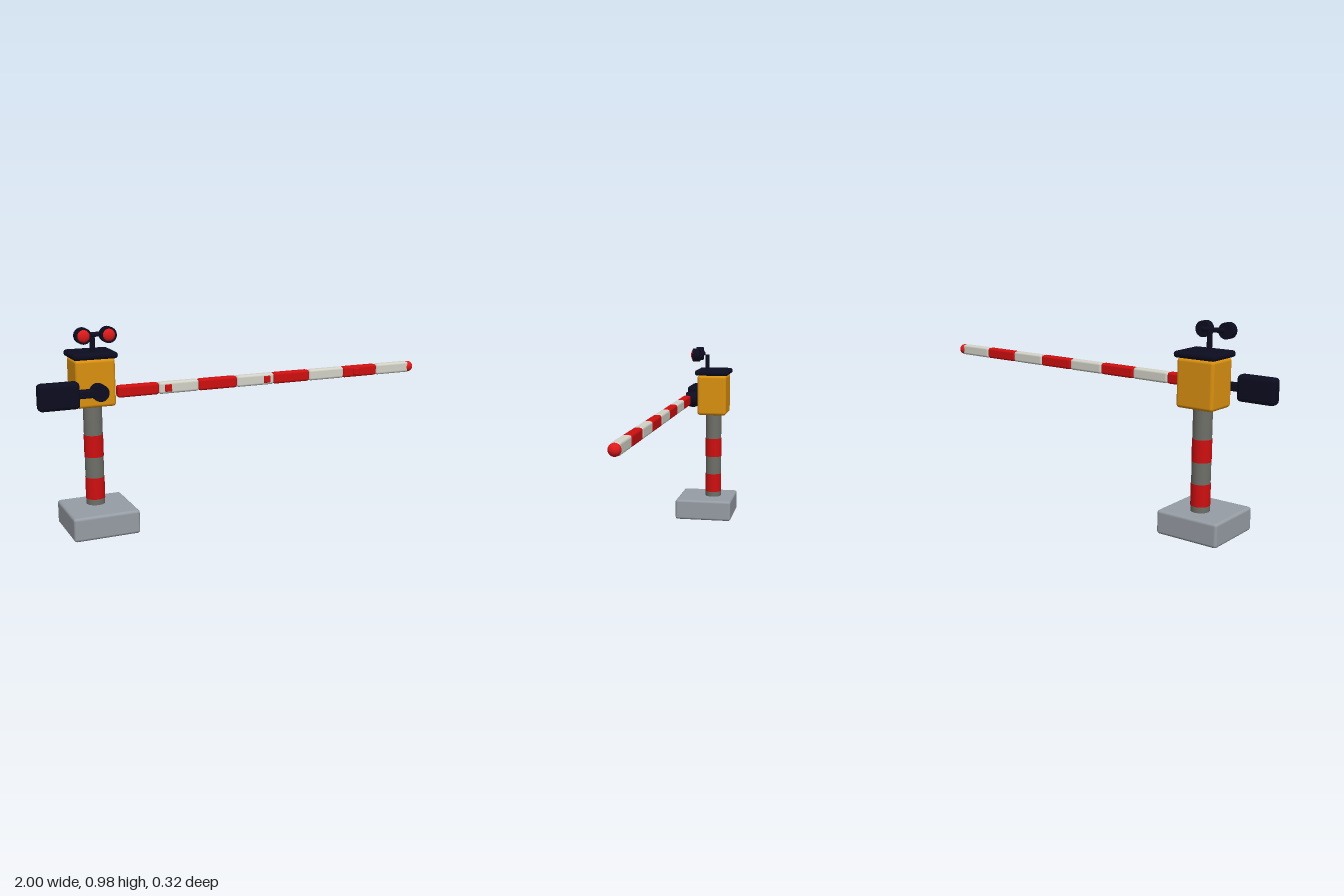
import * as THREE from 'three';
import { RoundedBoxGeometry } from 'three/addons/geometries/RoundedBoxGeometry.js';

const paint = (name, color) => {
  const m = new THREE.MeshStandardMaterial({ color });
  m.name = name;
  return m;
};

export function createModel() {
  const stone = paint('concrete grey', 0x979da5);
  const steel = paint('post grey', 0x6e6f68);
  const red = paint('signal red', 0xcf0f10);
  const lamp = paint('lamp red', 0xe01a1a);
  const white = paint('arm white', 0xd2d2c8);
  const amber = paint('housing amber', 0xdb9110);
  const dark = paint('dark navy', 0x0c0c20);

  const model = new THREE.Group();
  model.name = 'barrierGate';

  const add = (name, geometry, material, x, y, z) => {
    const mesh = new THREE.Mesh(geometry, material);
    mesh.name = name;
    mesh.position.set(x, y, z);
    model.add(mesh);
    return mesh;
  };
  const box = (name, w, h, d, r, mat, x, y, z) =>
    add(name, new RoundedBoxGeometry(w, h, d, 2, r), mat, x, y, z);
  // Cylinder along y, spanning y0 to y1
  const column = (name, r, y0, y1, mat, x, z) =>
    add(name, new THREE.CylinderGeometry(r, r, y1 - y0, 28), mat, x, (y0 + y1) / 2, z);
  // Cylinder facing +z, spanning z0 to z1
  const disc = (name, r, z0, z1, mat, x, y) => {
    const mesh = add(name, new THREE.CylinderGeometry(r, r, z1 - z0, 28), mat, x, y, (z0 + z1) / 2);
    mesh.rotation.x = Math.PI / 2;
    return mesh;
  };

  const px = -0.712, pz = -0.038;      // post axis
  const armY = 0.681, armZ = 0.104;    // arm axis

  // Base, post and painted bands
  box('base', 0.318, 0.115, 0.318, 0.014, stone, px, 0.0575, 0);
  column('post', 0.0445, 0.1, 0.61, steel, px, pz);
  column('lowerBand', 0.0458, 0.143, 0.248, red, px, pz);
  column('upperBand', 0.0458, 0.35, 0.456, red, px, pz);

  // Motor housing and its roof
  box('housing', 0.19, 0.226, 0.165, 0.016, amber, px, 0.712, pz);
  box('roof', 0.213, 0.031, 0.192, 0.015, dark, px, 0.84, pz);

  // Warning lamps on a small mast
  column('lampMast', 0.0125, 0.85, 0.937, dark, px, 0);
  const bar = add('lampCrossbar', new THREE.CylinderGeometry(0.0115, 0.0115, 0.118, 16), dark, px, 0.939, 0.031);
  bar.rotation.z = Math.PI / 2;
  for (const side of [-1, 1]) {
    const x = px + side * 0.059;
    disc('lampBody', 0.0375, 0.034, 0.072, dark, x, 0.938);
    const lens = add('lampLens', new THREE.SphereGeometry(0.029, 24, 16), lamp, x, 0.938, 0.07);
    lens.scale.z = 0.5;
  }

  // Pivot, link and counterweight
  disc('pivot', 0.039, 0.059, 0.12, dark, px, armY);
  box('counterweightLink', 0.15, 0.038, 0.042, 0.008, dark, -0.768, armY, armZ - 0.004);
  box('counterweight', 0.19, 0.125, 0.062, 0.02, dark, -0.905, armY, armZ);

  // Striped arm
  const start = -0.634, step = 0.2;
  for (let i = 0; i < 8; i++) {
    box('armSection', step, 0.056, 0.044, 0.012, i % 2 ? white : red,
      start + step * (i + 0.5), armY, armZ);
  }
  add('armTip', new THREE.SphereGeometry(0.028, 24, 16), lamp, 0.972, armY, armZ);

  // Reflectors on the arm's front
  for (const x of [-0.39, 0.125, 0.64]) {
    box('reflector', 0.034, 0.034, 0.012, 0.004, red, x, armY, 0.127);
  }
  return model;
}
